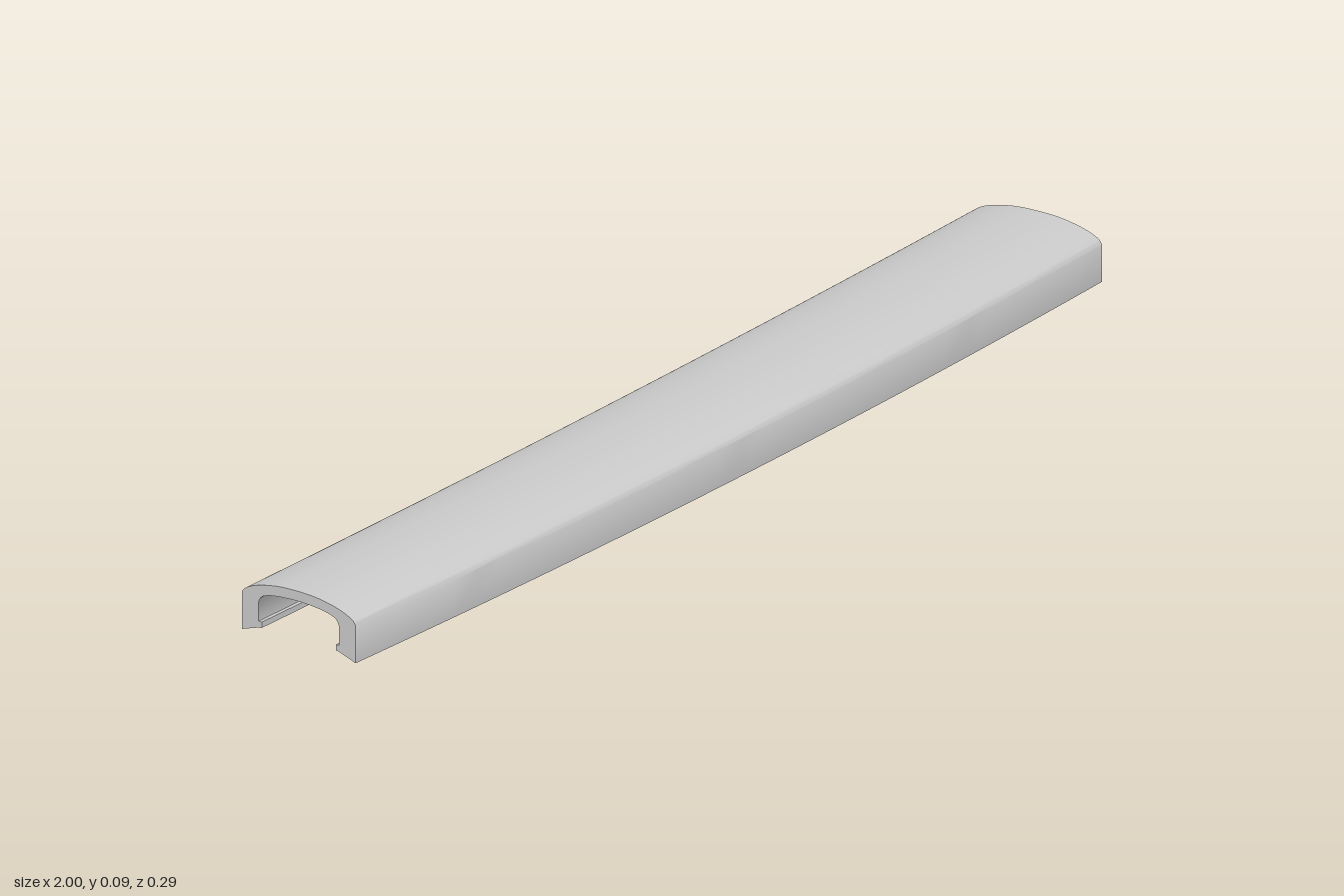
import * as THREE from 'three';
import { toCreasedNormals } from 'three/addons/utils/BufferGeometryUtils.js';

const HALF = 0.123; // nominal half width of the section

// Smooth arch through a half outline, mirrored to the other side
function arch(half) {
  const pts = half.map(([x, y]) => new THREE.Vector2(x, y));
  const mirrored = half.slice(0, -1).reverse().map(([x, y]) => new THREE.Vector2(-x, y));
  return new THREE.SplineCurve([...pts, ...mirrored]).getPoints(32);
}

// C-shaped section: crowned top, side walls, sloping feet with small inner lips
function railSection() {
  const outer = arch([[0.123, 0.064], [0.117, 0.072], [0.1, 0.08], [0.075, 0.087], [0.04, 0.0925], [0, 0.094]]);
  const inner = arch([[0.087, 0.055], [0.082, 0.064], [0.07, 0.07], [0.045, 0.0745], [0, 0.077]]).reverse();
  const foot = [[0.087, 0.022], [0.08, 0.022], [0.08, 0.012], [0.087, 0.011], [0.123, 0]];
  const rightFoot = foot.map(([x, y]) => new THREE.Vector2(x, y));
  const leftFoot = foot.map(([x, y]) => new THREE.Vector2(-x, y)).reverse();
  return new THREE.Shape([...outer, ...leftFoot, ...inner, ...rightFoot]);
}

// Centre line, its slope, and the gently varying half width along the length
const centre = (t) => 0.015 - 0.02 * t - 0.019 * t * t;
const slope = (t) => -0.02 - 0.038 * t;
const halfWidth = (t) => 0.126 + 0.0035 * t - 0.0065 * t * t;

export function createModel() {
  const group = new THREE.Group();
  group.name = 'curvedRail';

  const length = 1.99;
  const geometry = new THREE.ExtrudeGeometry(railSection(), { depth: length, steps: 32, bevelEnabled: false });
  geometry.rotateY(Math.PI / 2);
  geometry.translate(-0.998, 0, 0);

  // Bend the straight extrusion along the centre line, keeping sections square to it
  const p = geometry.attributes.position;
  for (let i = 0; i < p.count; i++) {
    const t = p.getX(i);
    const across = (p.getZ(i) / HALF) * halfWidth(t);
    p.setX(i, t - across * slope(t));
    p.setZ(i, centre(t) + across);
  }

  const rail = new THREE.Mesh(
    toCreasedNormals(geometry, Math.PI / 6),
    new THREE.MeshStandardMaterial({ color: 0xcccccc })
  );
  rail.name = 'railCover';
  group.add(rail);
  return group;
}
